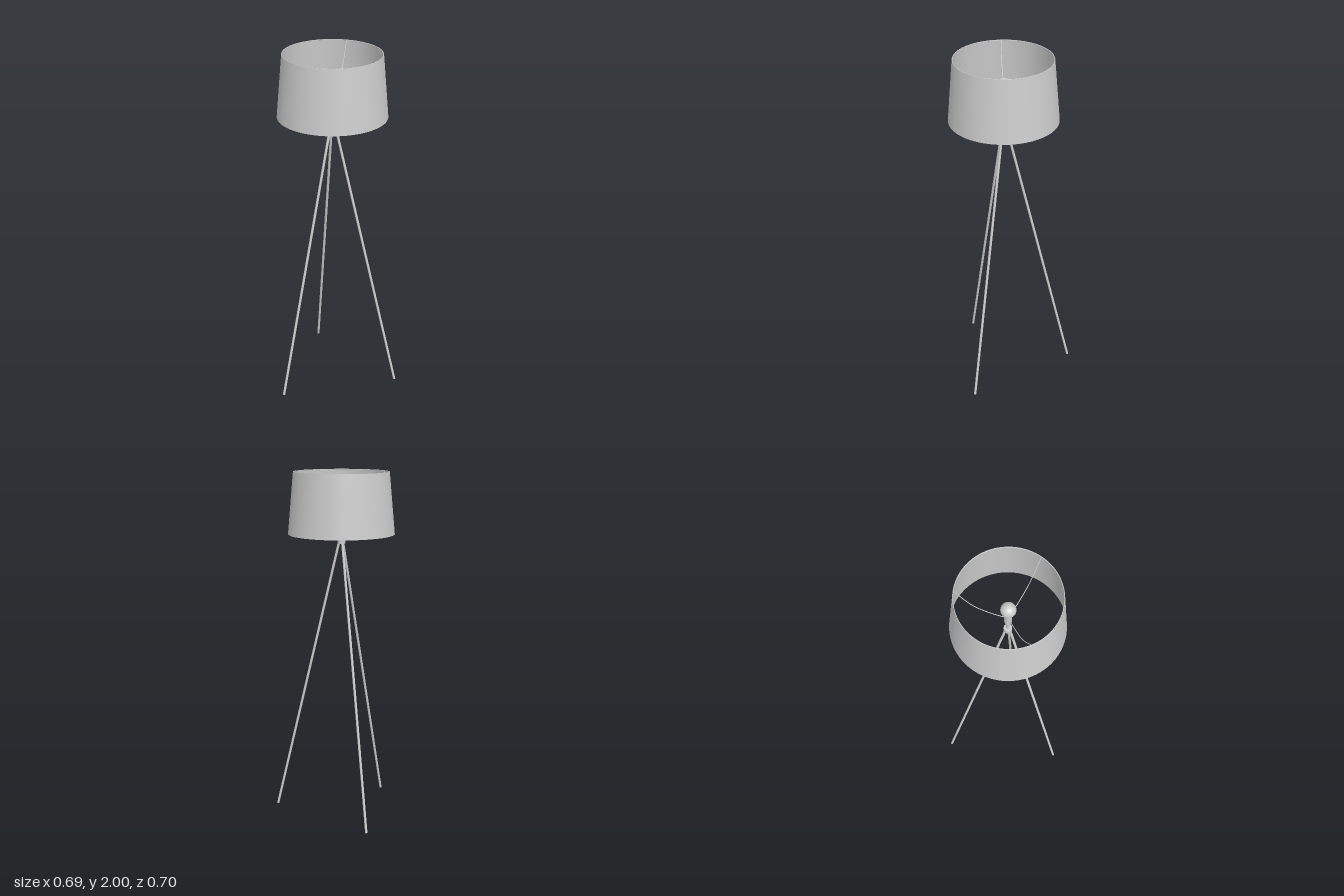
import * as THREE from 'three';

export function createModel() {
  const model = new THREE.Group();
  const lamp = new THREE.Group();
  lamp.name = 'tripodLamp';
  lamp.position.z = 0.05; // the rear leg reaches further back than the front pair
  model.add(lamp);

  const grey = new THREE.MeshStandardMaterial({ color: 0xcccccc });
  grey.name = 'light grey';
  const greyOpen = new THREE.MeshStandardMaterial({ color: 0xcccccc, side: THREE.DoubleSide });
  greyOpen.name = 'light grey shade';

  const add = (name, geometry, material = grey) => {
    const mesh = new THREE.Mesh(geometry, material);
    mesh.name = name;
    lamp.add(mesh);
    return mesh;
  };
  const post = (name, radius, y0, y1, sides = 32) => {
    add(name, new THREE.CylinderGeometry(radius, radius, y1 - y0, sides)).position.y = (y0 + y1) / 2;
  };

  // Tapered drum shade, open at both ends, with a thin wire rim at the top
  add('shade', new THREE.CylinderGeometry(0.268, 0.3, 0.345, 96, 1, true), greyOpen).position.y = 1.8275;
  const rim = add('shadeRim', new THREE.TorusGeometry(0.2655, 0.002, 8, 96));
  rim.rotation.x = Math.PI / 2;
  rim.position.y = 1.998;

  // Hub, stem and bulb holder
  post('hub', 0.022, 1.6, 1.627);
  post('stem', 0.009, 1.62, 1.72, 24);
  post('socket', 0.02, 1.71, 1.8);

  // Round bulb with a short neck
  const bulbProfile = [new THREE.Vector2(0.015, 1.795), new THREE.Vector2(0.017, 1.812)];
  for (let i = 0; i <= 20; i++) {
    const a = -1.13 + (i / 20) * (Math.PI / 2 + 1.13);
    bulbProfile.push(new THREE.Vector2(Math.max(0, 0.04 * Math.cos(a)), 1.85 + 0.04 * Math.sin(a)));
  }
  add('bulb', new THREE.LatheGeometry(bulbProfile, 40));

  // Three splayed legs, one to the rear, and three shade wires set between them
  const up = new THREE.Vector3(0, 1, 0);
  for (let i = 0; i < 3; i++) {
    const turn = (i * 2 * Math.PI) / 3;
    const around = (r, y, a) => new THREE.Vector3(r * Math.sin(a), y, r * Math.cos(a));

    const foot = around(0.393, 0.002, Math.PI + turn);
    const top = around(0.012, 1.615, Math.PI + turn);
    const along = top.clone().sub(foot);
    const leg = add('leg', new THREE.CylinderGeometry(0.007, 0.007, along.length(), 20));
    leg.position.copy(foot).add(top).multiplyScalar(0.5);
    leg.quaternion.setFromUnitVectors(up, along.normalize());

    const wire = [[0.01, 1.753], [0.08, 1.785], [0.15, 1.832], [0.19, 1.876], [0.265, 1.998]];
    const path = new THREE.CatmullRomCurve3(wire.map(([r, y]) => around(r, y, -Math.PI / 2 + turn)));
    add('shadeWire', new THREE.TubeGeometry(path, 32, 0.0022, 8));
  }
  return model;
}
